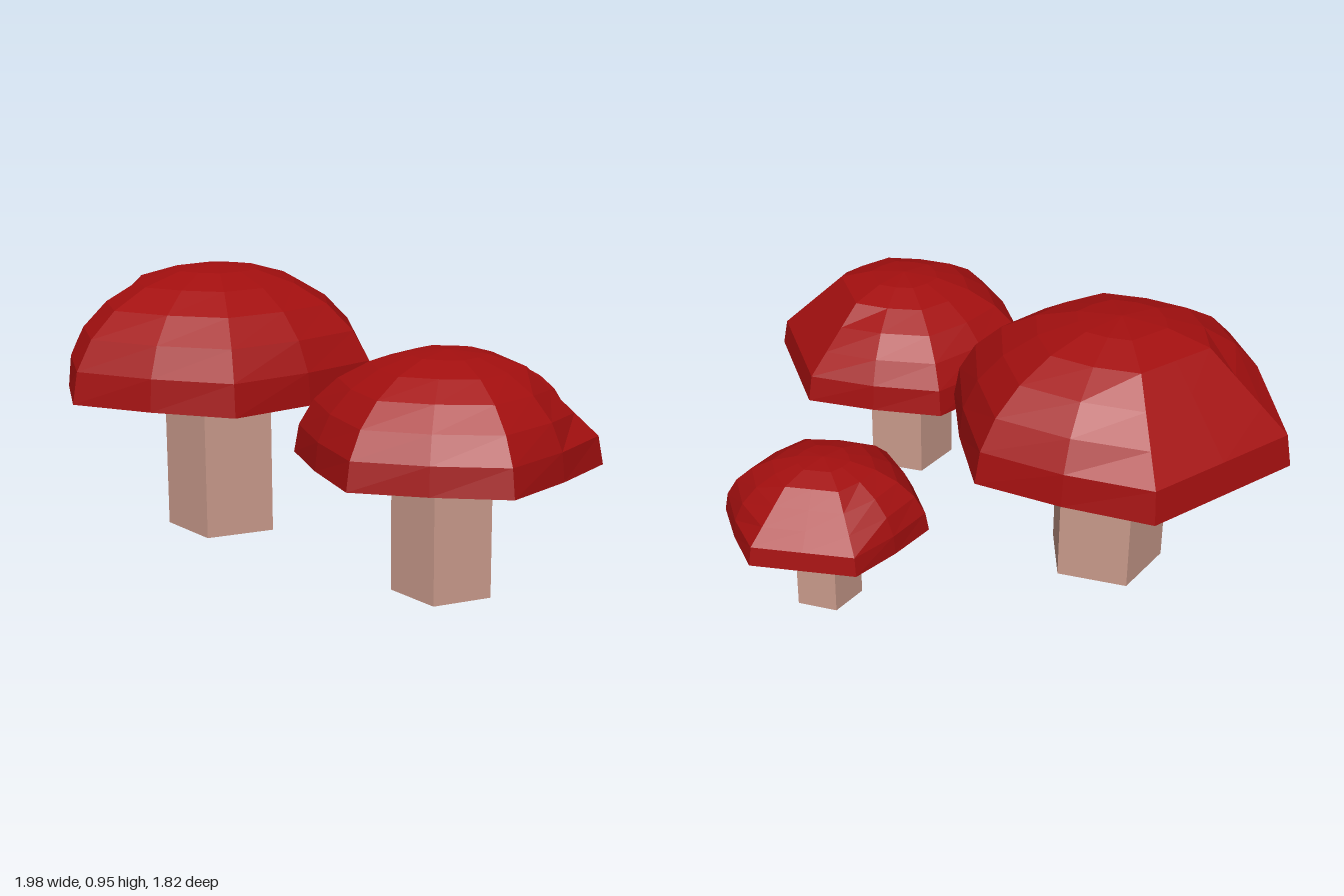
import * as THREE from 'three';

const ROWS = 6, COLS = 12;

// Faceted hexagonal dome, open below, with one flattened side facing angle 0
function capGeometry(radius, height) {
  const point = (col, row) => {
    const c = ((col % COLS) + COLS) % COLS;         // even columns: side middles, odd: corners
    const dented = c === 0 || c === 1 || c === COLS - 1;
    const ring = (i) => {
      const t = (i / ROWS) * Math.PI / 2;
      return [i === ROWS ? 0 : Math.cos(t), Math.sin(t)];
    };
    let [r, h] = ring(row);
    if (dented && row > 1 && row < 4) {             // straight slope between rows 1 and 4
      const [r1, h1] = ring(1), [r4, h4] = ring(4), k = (row - 1) / 3;
      r = r1 + (r4 - r1) * k;
      h = h1 + (h4 - h1) * k;
    }
    if (c % 2 === 0) r *= Math.cos(Math.PI / 6) * (c === 0 ? 1 : 1.03 + 0.05 * h);
    const a = (c / COLS) * Math.PI * 2;
    return [Math.cos(a) * r * radius, h * height, Math.sin(a) * r * radius];
  };
  const pos = [];
  for (let row = 0; row < ROWS; row++) {
    for (let col = 0; col < COLS; col++) {
      const a = point(col, row), b = point(col + 1, row);
      const c = point(col + 1, row + 1), d = point(col, row + 1);
      pos.push(...a, ...d, ...b);
      if (row < ROWS - 1) pos.push(...b, ...d, ...c);
    }
  }
  const geo = new THREE.BufferGeometry();
  geo.setAttribute('position', new THREE.Float32BufferAttribute(pos, 3));
  geo.computeVertexNormals();
  return geo;
}

// Five-sided stem with a flat side to the front
function stemGeometry(radius, height) {
  const geo = new THREE.CylinderGeometry(radius, radius, height, 5).rotateY(Math.PI).toNonIndexed();
  geo.computeVertexNormals();
  return geo.translate(0, height / 2, 0);
}

export function createModel() {
  const capRed = new THREE.MeshStandardMaterial({ color: 0xa30f0f, side: THREE.DoubleSide });
  capRed.name = 'capRed';
  const stemPink = new THREE.MeshStandardMaterial({ color: 0xc99a8b });
  stemPink.name = 'stemPink';

  const group = new THREE.Group();
  group.name = 'mushrooms';

  const mushrooms = [
    { name: 'largeMushroom', cap: [-0.475, 0.32], stem: [-0.45, 0.32], base: 0.01, rim: 0.53, top: 0.947, capR: 0.587, stemR: 0.205, dent: 180 },
    { name: 'mediumMushroom', cap: [0.54, 0.17], stem: [0.55, 0.185], base: 0, rim: 0.427, top: 0.775, capR: 0.487, stemR: 0.168, dent: -70 },
    { name: 'smallMushroom', cap: [-0.09, -0.583], stem: [-0.08, -0.584], base: 0.02, rim: 0.315, top: 0.555, capR: 0.343, stemR: 0.115, dent: -133.6 },
  ];

  for (const m of mushrooms) {
    const mushroom = new THREE.Group();
    mushroom.name = m.name;

    const cap = new THREE.Mesh(capGeometry(m.capR, m.top - m.rim), capRed);
    cap.name = 'cap';
    cap.position.set(m.cap[0], m.rim, m.cap[1]);
    cap.rotation.y = -THREE.MathUtils.degToRad(m.dent);

    const stem = new THREE.Mesh(stemGeometry(m.stemR, m.rim + 0.01 - m.base), stemPink);
    stem.name = 'stem';
    stem.position.set(m.stem[0], m.base, m.stem[1]);

    mushroom.add(cap, stem);
    group.add(mushroom);
  }
  return group;
}
